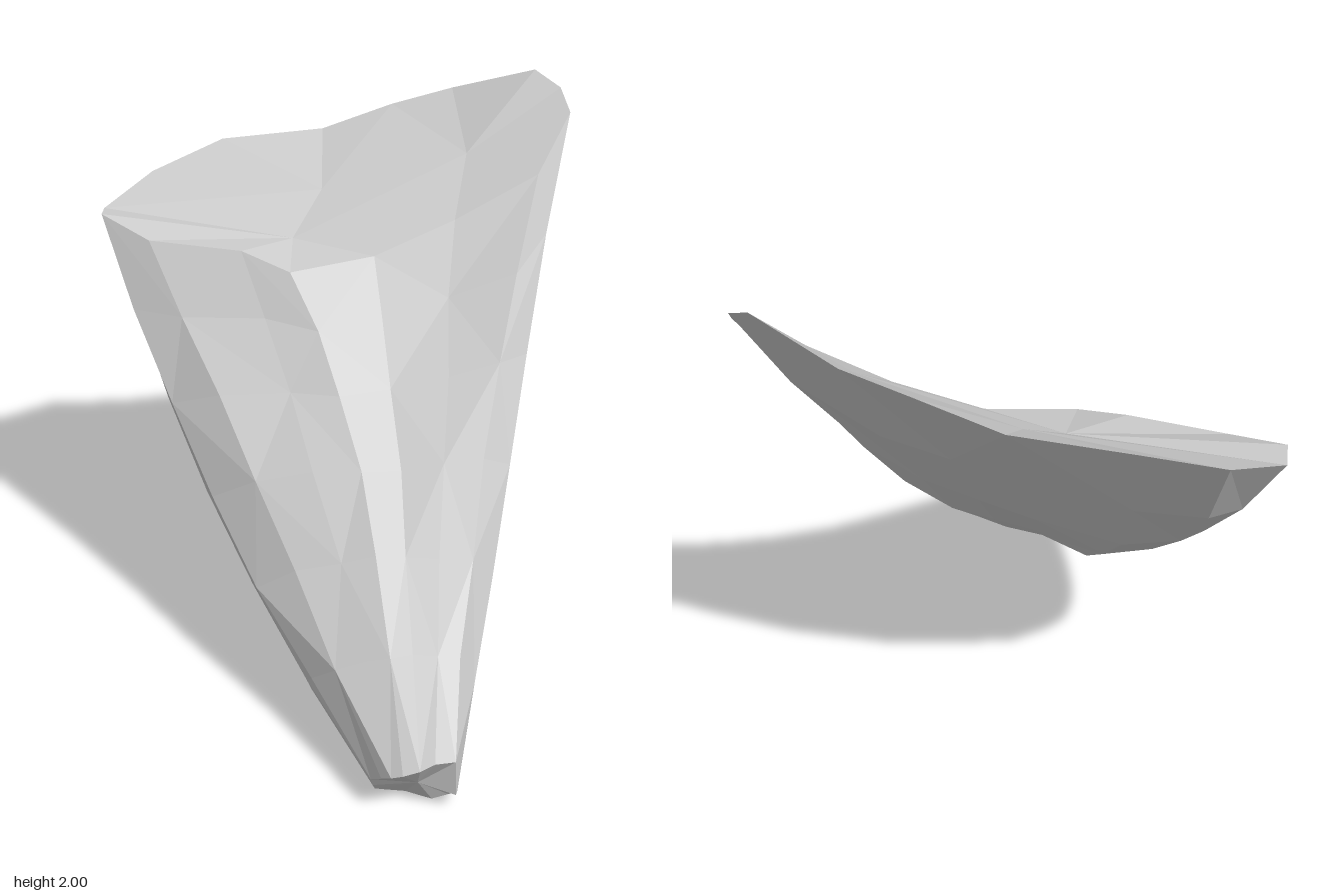
import * as THREE from 'three';

// Lengthwise strands around the shard: [foot], [middle], [tip]
const STRANDS = [
  // left corner and front face, left to right
  [[0.63, 0.06, 0.89], [-0.27, 0.63, 0.25], [-0.91, 1.50, -0.20]],
  [[0.63, 0.10, 0.91], [-0.23, 0.66, 0.31], [-0.87, 1.51, -0.11]],
  [[0.68, 0.15, 0.95], [-0.04, 0.77, 0.32], [-0.65, 1.45, -0.07]],
  [[0.72, 0.18, 0.97], [0.16, 0.82, 0.27], [-0.30, 1.44, -0.13]],
  [[0.76, 0.20, 0.97], [0.32, 0.84, 0.24], [-0.10, 1.39, -0.12]],
  [[0.81, 0.22, 0.95], [0.44, 0.84, 0.16], [0.15, 1.42, -0.32]],
  [[0.85, 0.24, 0.92], [0.58, 0.86, 0.11], [0.40, 1.54, -0.49]],
  [[0.90, 0.22, 0.86], [0.72, 0.88, 0.07], [0.66, 1.70, -0.65]],
  // right edge and rounded back, right to left
  [[0.90, 0.07, 0.84], [0.78, 0.82, -0.04], [0.71, 1.88, -0.87]],
  [[0.89, 0.04, 0.79], [0.72, 0.85, -0.13], [0.65, 1.95, -0.94]],
  [[0.86, 0.02, 0.79], [0.61, 0.86, -0.19], [0.54, 2.00, -0.97]],
  [[0.81, 0.00, 0.81], [0.42, 0.80, -0.17], [0.22, 1.90, -0.96]],
  [[0.77, 0.00, 0.81], [0.28, 0.75, -0.10], [0.00, 1.83, -0.89]],
  [[0.72, 0.01, 0.82], [0.13, 0.68, -0.01], [-0.25, 1.73, -0.79]],
  [[0.66, 0.02, 0.85], [-0.09, 0.59, 0.10], [-0.61, 1.69, -0.63]],
  [[0.63, 0.03, 0.87], [-0.24, 0.61, 0.19], [-0.82, 1.59, -0.43]],
];
const STEPS = 6;

export function createModel() {
  const group = new THREE.Group();
  group.name = 'stoneShard';
  const stone = new THREE.MeshStandardMaterial({ color: 0xcccccc, flatShading: true });
  stone.name = 'pale grey stone';

  let seed = 7;
  const jitter = (size) => {
    seed = (seed * 16807) % 2147483647;
    return (seed / 2147483647 - 0.5) * size;
  };
  const addMesh = (name, triangles) => {
    const geometry = new THREE.BufferGeometry().setFromPoints(triangles);
    geometry.computeVertexNormals();
    const mesh = new THREE.Mesh(geometry, stone);
    mesh.name = name;
    group.add(mesh);
  };

  // Sample each strand as a bowed curve, roughened between its ends
  const rows = STRANDS.map((strand) => {
    const [foot, middle, tip] = strand.map((p) => new THREE.Vector3(...p));
    const control = middle.multiplyScalar(2).addScaledVector(foot, -0.5).addScaledVector(tip, -0.5);
    const points = new THREE.QuadraticBezierCurve3(foot, control, tip).getPoints(STEPS);
    points.slice(1, -1).forEach((p) => {
      p.x += jitter(0.02);
      p.y += jitter(0.02);
      p.z += jitter(0.02);
    });
    return points;
  });
  const next = (i) => (i + 1) % rows.length;

  // Faceted sides, with alternating diagonals
  const sides = [];
  rows.forEach((a, i) => {
    const b = rows[next(i)];
    for (let j = 0; j < STEPS; j++) {
      if ((i + j) % 2) sides.push(a[j], b[j], b[j + 1], a[j], b[j + 1], a[j + 1]);
      else sides.push(a[j], b[j], a[j + 1], b[j], b[j + 1], a[j + 1]);
    }
  });
  addMesh('ribbedBody', sides);

  // Broken end: a flat ledge at the front, then slopes rising to the right and back
  const ledge = new THREE.Vector3(-0.18, 1.44, -0.33);
  const rightSlope = new THREE.Vector3(0.36, 1.72, -0.73);
  const backSlope = new THREE.Vector3(-0.15, 1.57, -0.54);
  const hub = (i) => (i < 6 ? ledge : i < 12 ? rightSlope : backSlope);
  const top = [ledge, rightSlope, backSlope];
  rows.forEach((a, i) => {
    const n = next(i), b = rows[n][STEPS];
    top.push(hub(i), a[STEPS], b);
    if (hub(i) !== hub(n)) top.push(hub(i), b, hub(n));
  });
  addMesh('brokenTop', top);

  // Small hollow at the foot
  const footCentre = new THREE.Vector3(0.78, 0.11, 0.875);
  const base = [];
  rows.forEach((a, i) => base.push(footCentre, rows[next(i)][0], a[0]));
  addMesh('hollowFoot', base);

  return group;
}
